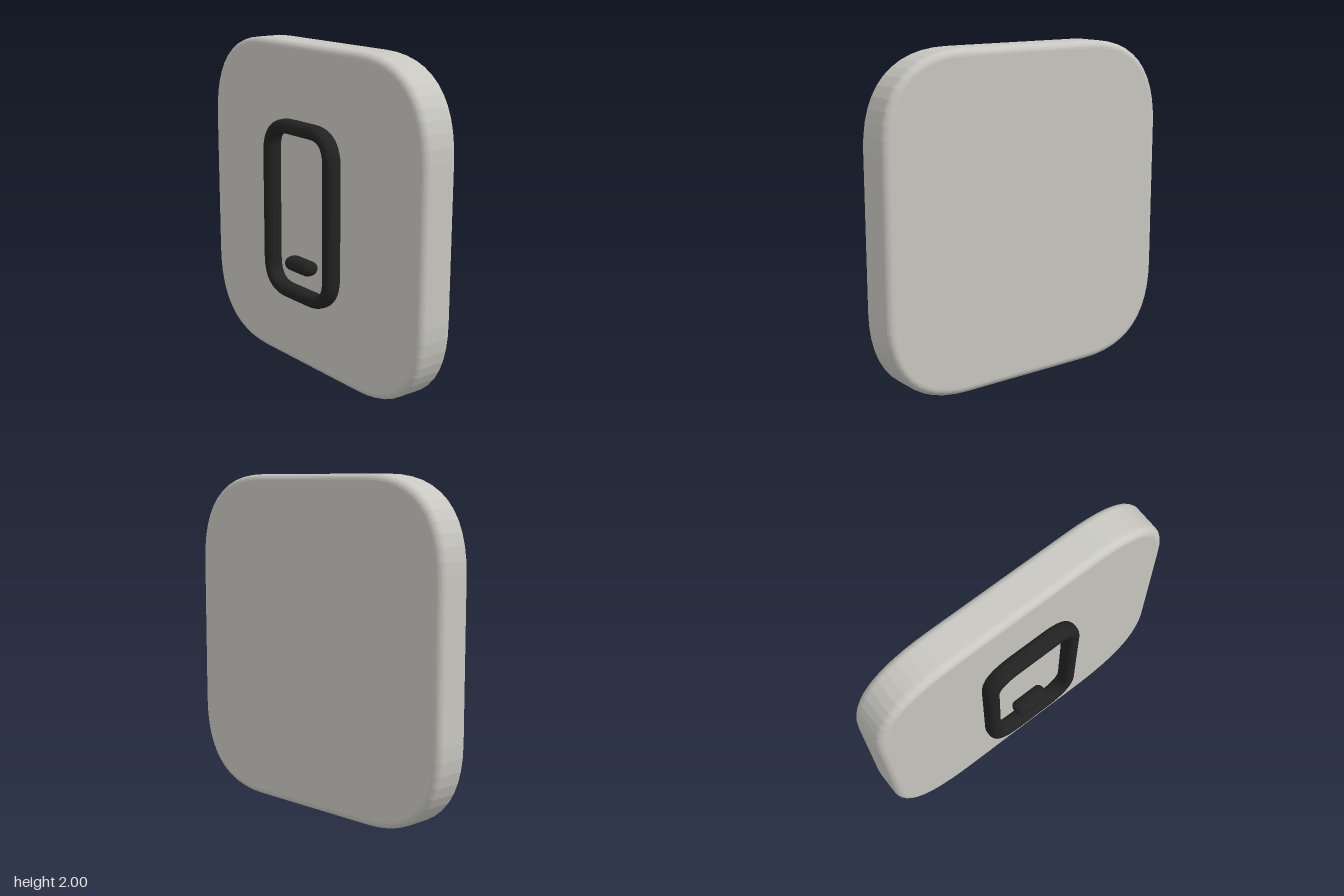
import * as THREE from 'three';

// Traces a rectangle with soft corners, half sizes w and h, corner reach r.
function softRect(path, w, h, r) {
  path.moveTo(-w + r, -h);
  path.lineTo(w - r, -h);
  path.quadraticCurveTo(w, -h, w, -h + r);
  path.lineTo(w, h - r);
  path.quadraticCurveTo(w, h, w - r, h);
  path.lineTo(-w + r, h);
  path.quadraticCurveTo(-w, h, -w, h - r);
  path.lineTo(-w, -h + r);
  path.quadraticCurveTo(-w, -h, -w + r, -h);
  return path;
}

// Extrudes a shape between z0 and z1; the bevel grows the outline by size b.
function slab(name, shape, z0, z1, b, bz, material, y) {
  const geometry = new THREE.ExtrudeGeometry(shape, {
    depth: z1 - z0 - 2 * bz,
    bevelEnabled: true,
    bevelSize: b,
    bevelThickness: bz,
    bevelSegments: 6,
    curveSegments: 12,
  });
  const mesh = new THREE.Mesh(geometry, material);
  mesh.name = name;
  mesh.position.set(0, y, z0 + bz);
  return mesh;
}

export function createModel() {
  const plateGrey = new THREE.MeshStandardMaterial({ color: 0xc8c7c1 });
  plateGrey.name = 'warm light grey';
  const iconBlack = new THREE.MeshStandardMaterial({ color: 0x222222 });
  iconBlack.name = 'soft black';

  const group = new THREE.Group();
  group.name = 'phoneIconTile';

  // Backing plate
  const pb = 0.045;
  const plate = softRect(new THREE.Shape(), 1 - pb, 1 - pb, 0.5);
  group.add(slab('backingPlate', plate, -0.17, 0.07, pb, pb, plateGrey, 1));

  // Phone outline: a rounded frame with an open middle
  const b = 0.036;
  const frame = softRect(new THREE.Shape(), 0.333 - b, 0.552 - b, 0.19);
  frame.holes.push(softRect(new THREE.Path(), 0.247 + b, 0.466 + b, 0.16));
  group.add(slab('phoneFrame', frame, 0.066, 0.172, b, 0.045, iconBlack, 1.003));

  // Home button: a short pill
  const r = 0.044 - b;
  const pill = new THREE.Shape();
  pill.absarc(0.074, 0, r, -Math.PI / 2, Math.PI / 2, false);
  pill.absarc(-0.074, 0, r, Math.PI / 2, Math.PI * 1.5, false);
  group.add(slab('homeButton', pill, 0.066, 0.172, b, 0.045, iconBlack, 0.678));

  return group;
}
